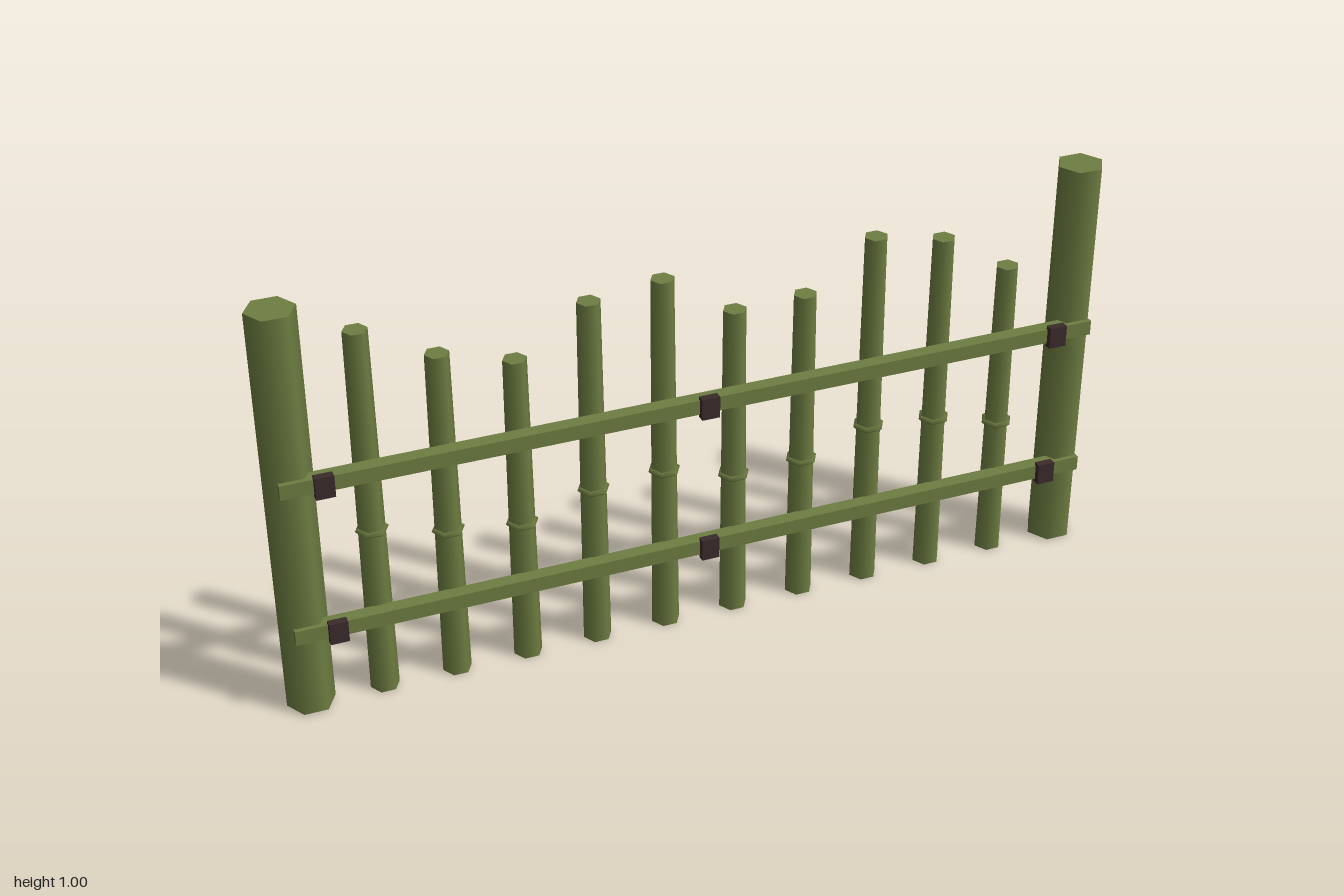
import * as THREE from 'three';

export function createModel() {
  const root = new THREE.Group();
  root.name = 'bambooFence';
  const bamboo = new THREE.MeshStandardMaterial({ color: 0x6e7e42 });
  bamboo.name = 'bambooGreen';
  const rope = new THREE.MeshStandardMaterial({ color: 0x3c2b2b });
  rope.name = 'darkBrownBinding';

  const Z = -0.011; // centre line of posts and canes
  const add = (name, geo, mat, x, y, z) => {
    const mesh = new THREE.Mesh(geo, mat);
    mesh.name = name;
    mesh.position.set(x, y, z);
    root.add(mesh);
    return mesh;
  };
  // six-sided stalk with corners pointing along x
  const stalk = (name, rTop, rBottom, y0, y1, x) =>
    add(name, new THREE.CylinderGeometry(rTop, rBottom, y1 - y0, 6, 1, false, Math.PI / 6),
      bamboo, x, (y0 + y1) / 2, Z);

  // end posts, each with a cane foot just showing beneath
  for (const side of [-1, 1]) {
    const name = side < 0 ? 'rightPost' : 'leftPost';
    stalk(name, 0.056, 0.056, 0.003, 1.005, side * 0.944);
    stalk(name + 'Foot', 0.034, 0.034, 0, 0.05, side * 0.944);
  }

  // tapered canes of uneven height, each with a raised node
  const heights = [0.922, 0.83, 0.78, 0.887, 0.908, 0.798, 0.803, 0.915, 0.88, 0.776];
  const nodeGeo = new THREE.TorusGeometry(0.03, 0.0085, 4, 6).rotateX(Math.PI / 2);
  heights.forEach((h, i) => {
    const x = (i - 4.5) * 0.1716;
    stalk('cane' + (i + 1), 0.028, 0.034, 0, h, x);
    add('caneNode' + (i + 1), nodeGeo, bamboo, x, h * 0.461, Z);
  });

  // cross rails with dark bindings
  const railGeo = new THREE.BoxGeometry(1.95, 0.036, 0.034);
  const bindGeo = new THREE.BoxGeometry(0.043, 0.053, 0.019);
  for (const [label, y] of [['lower', 0.221], ['upper', 0.599]]) {
    add(label + 'Rail', railGeo, bamboo, 0, y, 0.032);
    for (const x of [-0.88, 0, 0.88]) add(label + 'Binding', bindGeo, rope, x, y, 0.0535);
  }
  return root;
}
